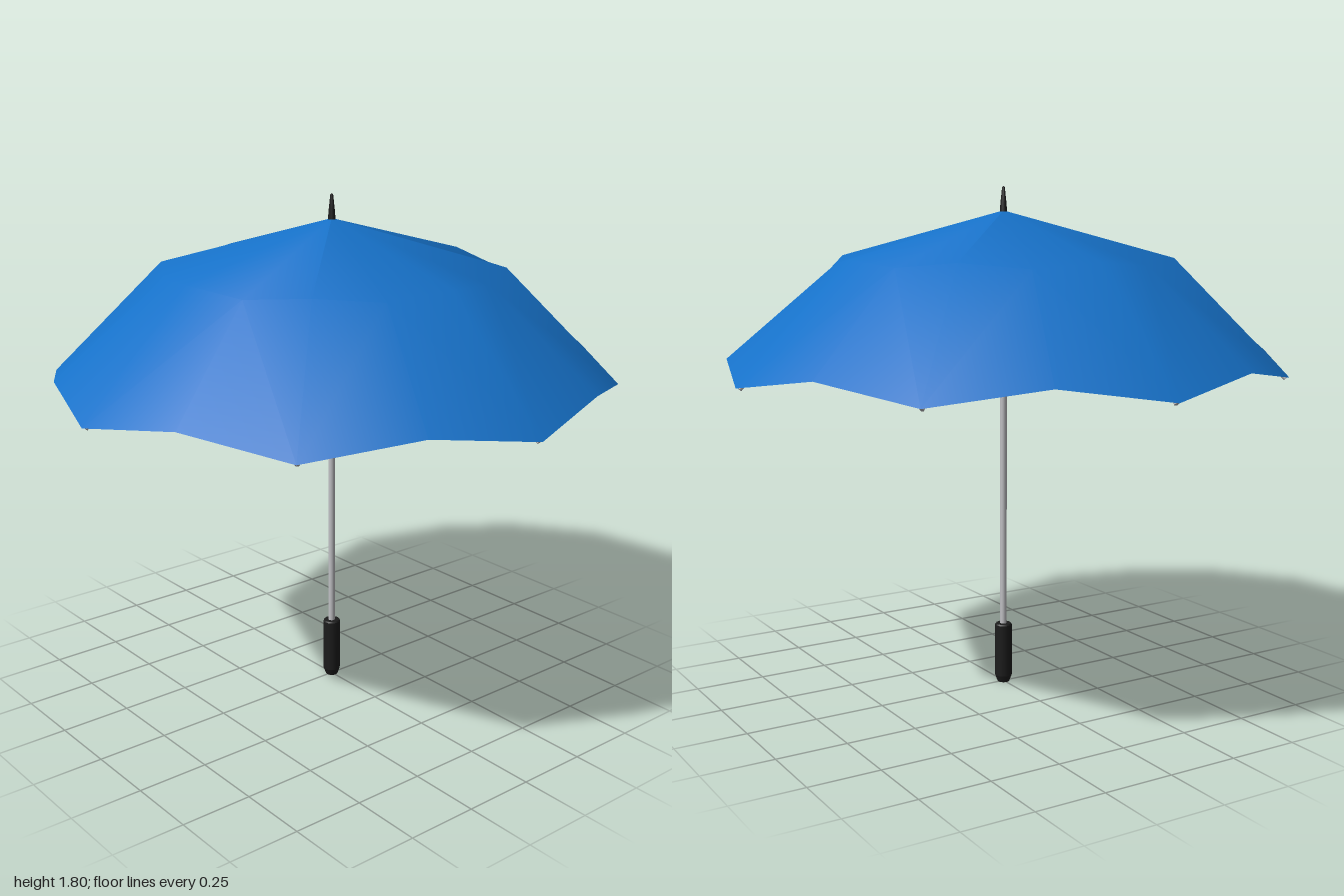
import * as THREE from 'three';

const mat = (name, color, extra = {}) => {
  const m = new THREE.MeshStandardMaterial({ color, ...extra });
  m.name = name;
  return m;
};

export function createModel() {
  const fabric = mat('blueFabric', 0x1671c8, { side: THREE.DoubleSide });
  const black = mat('blackPlastic', 0x1c1c1c);
  const steel = mat('steel', 0xc0c0c4);

  const model = new THREE.Group();
  model.name = 'umbrella';
  const add = (name, geometry, material, parent = model) => {
    const mesh = new THREE.Mesh(geometry, material);
    mesh.name = name;
    parent.add(mesh);
    return mesh;
  };
  const lathe = (points, sides) =>
    new THREE.LatheGeometry(points.map(([r, y]) => new THREE.Vector2(r, y)), sides);

  // Straight round rod between two points
  const rod = (name, a, b, radius, material, parent) => {
    const dir = b.clone().sub(a);
    const mesh = add(name, new THREE.CylinderGeometry(radius, radius, dir.length(), 6), material, parent);
    mesh.position.copy(a).add(b).multiplyScalar(0.5);
    mesh.quaternion.setFromUnitVectors(new THREE.Vector3(0, 1, 0), dir.normalize());
  };

  // Canopy: rib and mid-panel profiles alternate around a peak split into four quarters
  const canopyGeometry = () => {
    const ribProfile = [[0.6, 1.56], [1.0, 1.16]];
    const seamProfile = [[0.585, 1.54], [0.968, 1.215]];
    const pos = [], index = [];
    for (let q = 0; q < 4; q++) pos.push(0, 1.72, 0);
    for (let i = 0; i < 16; i++) {
      const a = (i - 2) * Math.PI / 8;
      for (const [r, y] of i % 2 ? seamProfile : ribProfile) {
        pos.push(r * Math.cos(a), y, r * Math.sin(a));
      }
      const k0 = 4 + i * 2, e0 = k0 + 1, k1 = 4 + ((i + 1) % 16) * 2, e1 = k1 + 1;
      index.push(Math.floor(i / 4), k1, k0);
      // Mirror the diagonals about each rib
      if (i % 2) index.push(k0, k1, e1, k0, e1, e0);
      else index.push(k0, k1, e0, k1, e1, e0);
    }
    const g = new THREE.BufferGeometry();
    g.setAttribute('position', new THREE.Float32BufferAttribute(pos, 3));
    g.setIndex(index);
    g.computeVertexNormals();
    return g;
  };
  add('canopy', canopyGeometry(), fabric);

  // Eight folding ribs with their struts
  for (let i = 0; i < 8; i++) {
    const arm = new THREE.Group();
    arm.name = 'ribAssembly';
    arm.rotation.y = i * Math.PI / 4;
    model.add(arm);
    const v = (x, y) => new THREE.Vector3(x, y, 0);
    const knee = v(0.592, 1.542);
    rod('innerRib', v(0.012, 1.695), knee, 0.008, steel, arm);
    rod('outerRib', knee, v(0.987, 1.156), 0.008, steel, arm);
    rod('strut', v(0.016, 1.125), v(0.42, 1.588), 0.008, steel, arm);
  }

  // Shaft, hub and sliding runner
  const shaft = add('shaft', new THREE.CylinderGeometry(0.012, 0.012, 1.52, 12), steel);
  shaft.position.y = 0.95;
  const hub = add('hub', new THREE.CylinderGeometry(0.02, 0.02, 0.03, 12), steel);
  hub.position.y = 1.69;
  const runner = add('runner', new THREE.CylinderGeometry(0.02, 0.02, 0.052, 12), black);
  runner.position.y = 1.109;

  // Pointed tip above the canopy
  add('ferrule', lathe([[0.014, 1.705], [0.011, 1.745], [0.005, 1.8], [0, 1.805]], 8), black);

  // Handle with a tapered foot; repeated points keep the edges sharp
  add('handle', lathe([[0, 0], [0.022, 0], [0.022, 0], [0.031, 0.025], [0.031, 0.025],
    [0.031, 0.217], [0.031, 0.217], [0.028, 0.222], [0.028, 0.222], [0, 0.222]], 12), black);

  return model;
}
